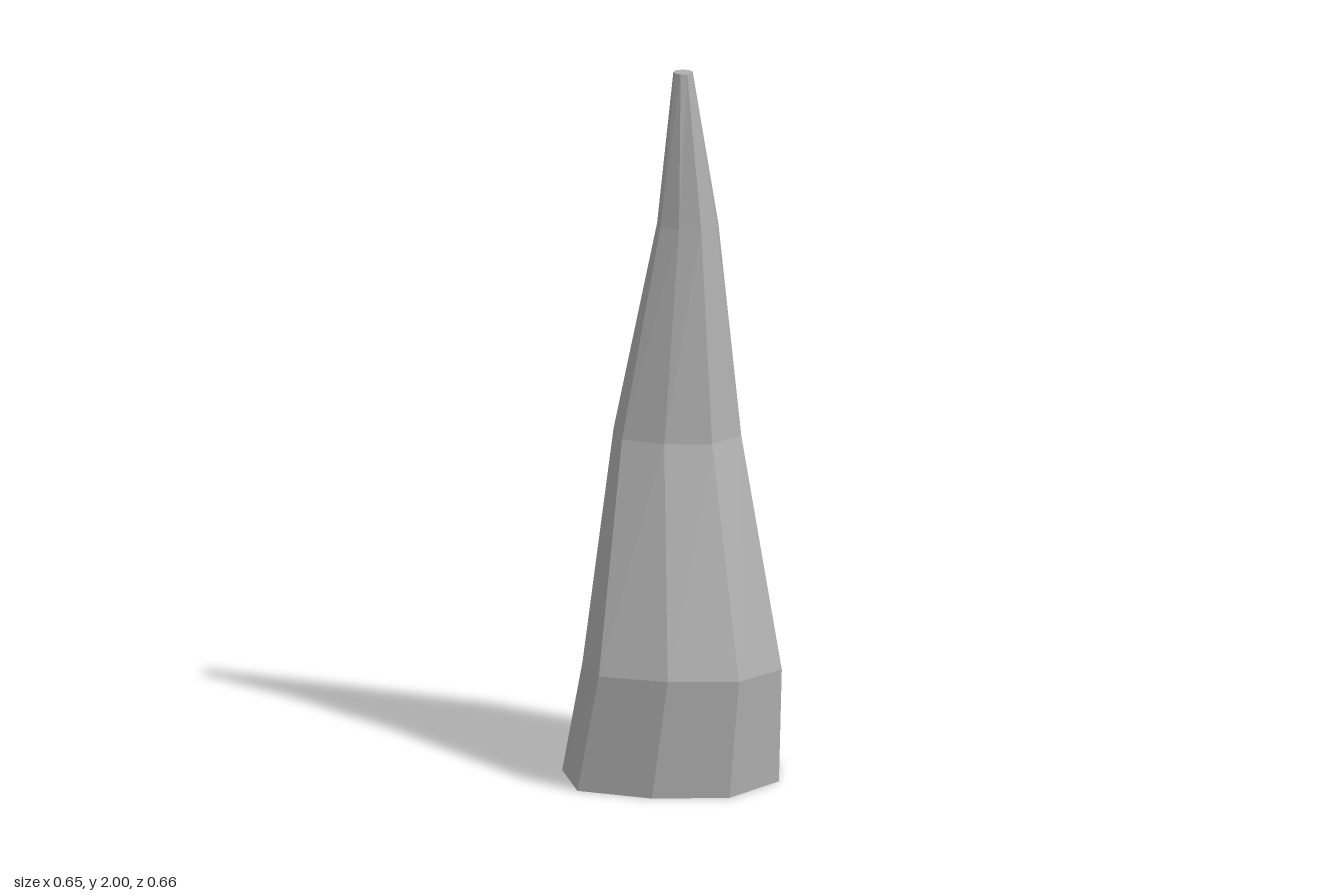
import * as THREE from 'three';

// Cross-sections from base to tip: nine [x, z] corners each, at height y,
// with a slight tilt of the plane (rise along x and z).
const SIDES = 9;
const tip = Array.from({ length: SIDES }, (_, i) => {
  const a = Math.PI + (i * 2 * Math.PI) / SIDES;
  return [0.03 + 0.027 * Math.cos(a), -0.003 + 0.027 * Math.sin(a)];
});
const rings = [
  { y: 0, tilt: [0, 0], pts: [[-0.325, 0.01], [-0.25, -0.187], [-0.088, -0.33], [0.12, -0.28], [0.27, -0.135], [0.297, 0.085], [0.15, 0.24], [-0.052, 0.327], [-0.235, 0.202]] },
  { y: 0.322, tilt: [0.03, 0.04], pts: [[-0.249, 0.034], [-0.187, -0.145], [-0.047, -0.282], [0.144, -0.241], [0.295, -0.121], [0.326, 0.077], [0.195, 0.223], [0.013, 0.309], [-0.156, 0.202]] },
  { y: 0.964, tilt: [0.01, 0.015], pts: [[-0.217, -0.038], [-0.169, -0.151], [-0.073, -0.234], [0.048, -0.2], [0.14, -0.119], [0.155, 0.01], [0.062, 0.103], [-0.056, 0.149], [-0.163, 0.074]] },
  { y: 1.56, tilt: [0.03, 0.05], pts: [[-0.073, -0.039], [-0.047, -0.09], [0.006, -0.127], [0.063, -0.107], [0.103, -0.061], [0.103, 0], [0.055, 0.038], [0, 0.055], [-0.05, 0.018]] },
  { y: 2, tilt: [0, 0], pts: tip },
];

// Facets between neighbouring rings, closed by a fan at each end.
function loftGeometry(rings) {
  const loops = rings.map(({ y, tilt, pts }) =>
    pts.map(([x, z]) => new THREE.Vector3(x, y + tilt[0] * x + tilt[1] * z, z)));
  const corners = [];
  const bottom = loops[0];
  const top = loops[loops.length - 1];
  const centre = (loop) => loop.reduce((sum, p) => sum.add(p), new THREE.Vector3()).divideScalar(SIDES);
  const bottomCentre = centre(bottom);
  const topCentre = centre(top);
  for (let i = 0; i < SIDES; i++) {
    const j = (i + 1) % SIDES;
    for (let k = 0; k < loops.length - 1; k++) {
      const lower = loops[k];
      const upper = loops[k + 1];
      corners.push(lower[i], upper[i], lower[j], lower[j], upper[i], upper[j]);
    }
    corners.push(bottomCentre, bottom[i], bottom[j]);
    corners.push(topCentre, top[j], top[i]);
  }
  const geometry = new THREE.BufferGeometry().setFromPoints(corners);
  geometry.computeVertexNormals();
  return geometry;
}

export function createModel() {
  const group = new THREE.Group();
  group.name = 'stalagmite';

  const stone = new THREE.MeshStandardMaterial({ color: 0xb0b0b0 });
  stone.name = 'grey stone';
  stone.flatShading = true;

  // Leaning rock spike
  const spike = new THREE.Mesh(loftGeometry(rings), stone);
  spike.name = 'rockSpike';
  group.add(spike);
  return group;
}
